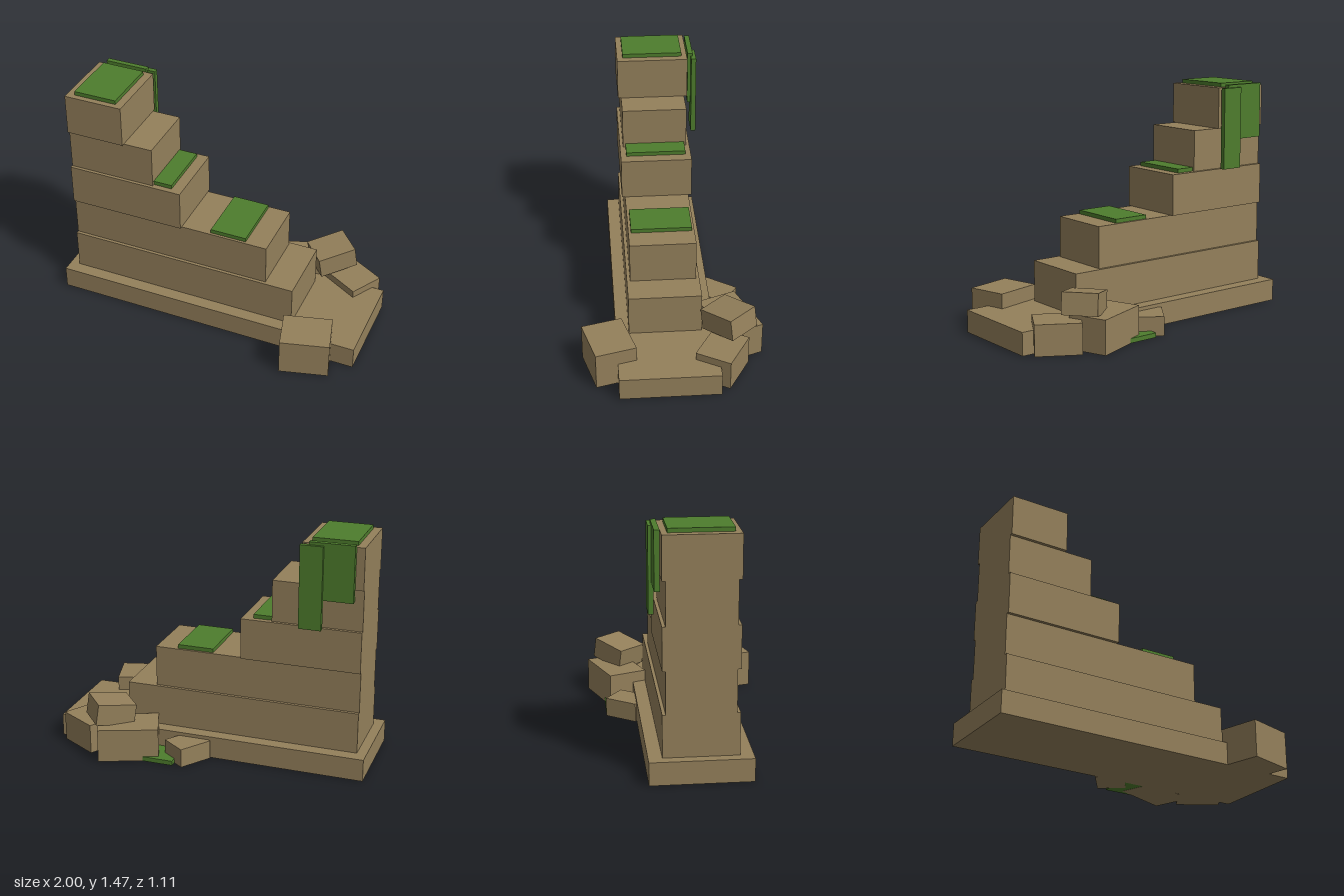
import * as THREE from 'three';

const rad = THREE.MathUtils.degToRad;

export function createModel() {
  const model = new THREE.Group();
  model.name = 'ruinedWall';

  const stone = new THREE.MeshStandardMaterial({ color: 0x94805b });
  stone.name = 'weathered stone';
  const moss = new THREE.MeshStandardMaterial({ color: 0x4e7d2d });
  moss.name = 'moss green';

  // Box given by its lower and upper limits on each axis
  function block(name, material, [x0, x1], [y0, y1], [z0, z1]) {
    const mesh = new THREE.Mesh(new THREE.BoxGeometry(x1 - x0, y1 - y0, z1 - z0), material);
    mesh.position.set((x0 + x1) / 2, (y0 + y1) / 2, (z0 + z1) / 2);
    mesh.name = name;
    model.add(mesh);
  }

  // Fallen stone, turned about y and optionally tilted about its own x
  function rubble(name, size, position, turn, tilt = 0) {
    const mesh = new THREE.Mesh(new THREE.BoxGeometry(...size), stone);
    mesh.position.set(...position);
    mesh.rotation.set(rad(tilt), rad(turn), 0, 'YXZ');
    mesh.name = name;
    model.add(mesh);
  }

  // Foundation
  block('foundation', stone, [-1, 1], [0, 0.142], [-0.267, 0.343]);

  // Courses step back from the broken end, alternately wide and narrow
  const courseHeight = 0.26;
  [0.56, 0.375, -0.19, -0.38, -0.565].forEach((end, i) => {
    const y = 0.142 + i * courseHeight;
    const half = i % 2 ? 0.204 : 0.224;
    block(`course${i + 1}`, stone, [-0.94, end], [y, y + courseHeight], [0.039 - half, 0.039 + half]);
  });

  // Moss patches on the exposed ledges
  const mossDepth = [-0.15, 0.227];
  block('topMoss', moss, [-0.89, -0.615], [1.44, 1.467], mossDepth);
  block('middleMoss', moss, [-0.4, -0.26], [0.92, 0.947], mossDepth);
  block('lowerMoss', moss, [0, 0.233], [0.66, 0.687], mossDepth);

  // Vines hanging down the back
  block('wideVine', moss, [-0.89, -0.615], [1.11, 1.46], [-0.223, -0.191]);
  block('longVine', moss, [-0.705, -0.565], [0.925, 1.442], [-0.242, -0.211]);

  // Moss on the ground below the rubble
  block('groundMoss', moss, [0.165, 0.5], [0.001, 0.03], [-0.455, -0.2]);

  // Fallen stones
  rubble('frontRubble', [0.305, 0.235, 0.255], [0.706, 0.1175, 0.391], 15);
  rubble('largeBackRubble', [0.378, 0.212, 0.252], [0.489, 0.106, -0.369], 21);
  rubble('endBackRubble', [0.278, 0.19, 0.229], [0.776, 0.095, -0.291], -30);
  rubble('smallBackRubble', [0.18, 0.12, 0.22], [0.113, 0.06, -0.315], -35);
  rubble('leaningRubble', [0.217, 0.135, 0.25], [0.615, 0.273, -0.343], -49, 9);

  return model;
}
